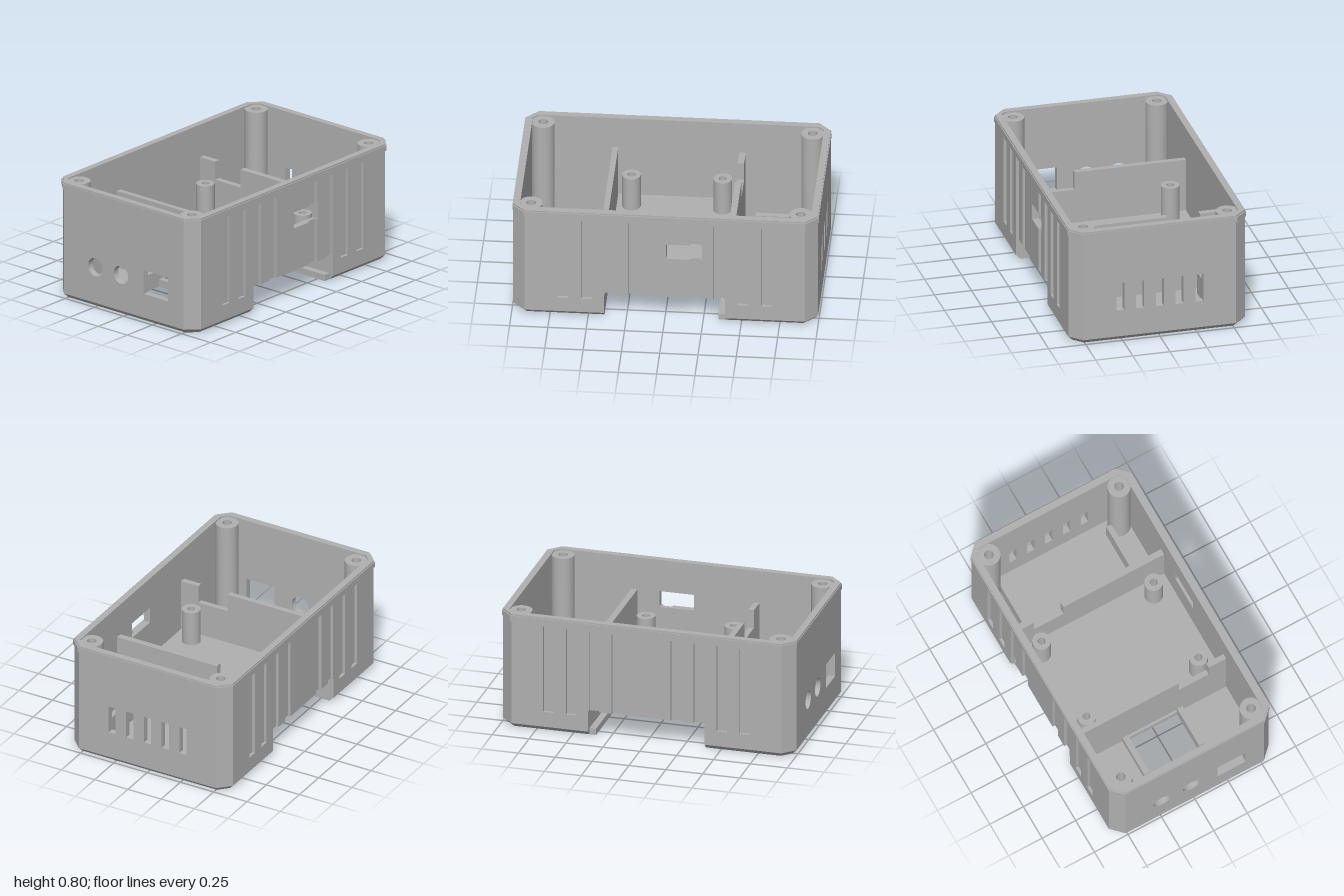
import * as THREE from 'three';
import { toCreasedNormals } from 'three/addons/utils/BufferGeometryUtils.js';

export function createModel() {
  const model = new THREE.Group();
  model.name = 'enclosure';
  const grey = new THREE.MeshStandardMaterial({ color: 0xb0b0b0 });
  grey.name = 'grey plastic';

  const add = (name, geometry, x = 0, y = 0, z = 0) => {
    const mesh = new THREE.Mesh(geometry, grey);
    mesh.name = name;
    mesh.position.set(x, y, z);
    model.add(mesh);
    return mesh;
  };
  const vec = (pts) => pts.map(([x, y]) => new THREE.Vector2(x, y));
  const rect = (x0, x1, y0, y1) => [[x0, y0], [x1, y0], [x1, y1], [x0, y1]];
  const circle = (cx, cy, r) => Array.from({ length: 40 }, (_, i) => {
    const a = (i / 40) * Math.PI * 2;
    return [cx + r * Math.cos(a), cy + r * Math.sin(a)];
  });
  // Flat plate with cut-outs, extruded along +z
  const plate = (outline, holes, depth) => {
    const shape = new THREE.Shape(vec(outline));
    holes.forEach((h) => shape.holes.push(new THREE.Path(vec(h))));
    return new THREE.ExtrudeGeometry(shape, { depth, bevelEnabled: false });
  };
  // Plate lying flat: outline is given as [x, z], extruded upwards
  const slab = (outline, holes, height) => {
    const flip = (pts) => pts.map(([x, z]) => [x, -z]);
    return plate(flip(outline), holes.map(flip), height).rotateX(-Math.PI / 2);
  };
  const box = (name, x0, x1, y0, y1, z0, z1) =>
    add(name, new THREE.BoxGeometry(x1 - x0, y1 - y0, z1 - z0), (x0 + x1) / 2, (y0 + y1) / 2, (z0 + z1) / 2);

  // Front wall with two round ports and a square one
  add('frontWall', plate(rect(-0.515, 0.515, 0.03, 0.8), [
    circle(-0.245, 0.278, 0.0625), circle(-0.025, 0.278, 0.0625), rect(0.17, 0.38, 0.195, 0.36),
  ], 0.045), 0, 0, 0.95);

  // Back wall with five vents
  const vents = [-2, -1, 0, 1, 2].map((i) => rect(i * 0.133 - 0.027, i * 0.133 + 0.027, 0.215, 0.41));
  add('backWall', plate(rect(-0.515, 0.515, 0.03, 0.8), vents, 0.045), 0, 0, -0.995);

  // Side walls: plain inner layer, grooved outer layer; u runs towards the back
  const sideOutline = (grooves) => [
    [-0.915, 0.03], [-0.395, 0.03], [-0.395, 0.175], ...grooves,
    [0.395, 0.175], [0.395, 0.03], [0.915, 0.03], [0.915, 0.8], [-0.915, 0.8],
  ];
  for (const side of [1, -1]) {
    const hasWindow = side > 0;
    const openGrooves = [-0.355, -0.2, 0.2, 0.355].flatMap((c) => {
      const a = c - 0.035, b = c + 0.035;
      if (hasWindow && c === 0.2) {
        // This groove merges with the window
        return [[a, 0.175], [a, 0.47], [0.01, 0.47], [0.01, 0.58], [a, 0.58], [a, 0.735],
          [b, 0.735], [b, 0.58], [0.245, 0.58], [0.245, 0.47], [b, 0.47], [b, 0.175]];
      }
      return [[a, 0.175], [a, 0.735], [b, 0.735], [b, 0.175]];
    });
    const closedGrooves = [-0.665, -0.51, 0.51, 0.665].map((c) => rect(c - 0.035, c + 0.035, 0.135, 0.735));
    const window = hasWindow ? [rect(0.01, 0.245, 0.47, 0.58)] : [];
    const name = hasWindow ? 'leftWall' : 'rightWall';
    add(name + 'Inner', plate(sideOutline([]), window, 0.025).rotateY(Math.PI / 2), hasWindow ? 0.55 : -0.575);
    add(name + 'Grooved', plate(sideOutline(openGrooves), closedGrooves, 0.02).rotateY(Math.PI / 2),
      hasWindow ? 0.575 : -0.595);
  }

  // Chamfered corners and screw posts
  const post = (R, r, base, top, depth) => toCreasedNormals(new THREE.LatheGeometry(
    vec([[R, base], [R, top], [r, top], [r, top - depth], [0, top - depth]]), 32), 0.6);
  for (const sx of [1, -1]) {
    for (const sz of [1, -1]) {
      const corner = [[0.595, 0.915], [0.515, 0.995], [0.515, 0.95], [0.55, 0.915]];
      add('cornerWall', slab(corner.map(([x, z]) => [x * sx, z * sz]), [], 0.77), 0, 0.03, 0);
      add('cornerPost', post(0.075, 0.031, 0.04, 0.79, 0.3), 0.485 * sx, 0, 0.88 * sz);
      add('boardStandoff', post(0.061, 0.026, 0.2, 0.455, 0.2), 0.418 * sx, 0, 0.298 * sz);
    }
  }

  // Raised band round the rim
  const octagon = (w, d, c) => [[w, d - c], [w - c, d], [c - w, d], [-w, d - c],
    [-w, c - d], [c - w, -d], [w - c, -d], [w, c - d]];
  add('rimBand', slab(octagon(0.601, 1, 0.079), [octagon(0.585, 0.985, 0.08)], 0.037), 0, 0.753, 0);

  // Floors of the two end blocks, with a chamfered lower edge
  const upper = [[-0.595, 0.395], [-0.595, 0.915], [-0.515, 0.995], [0.515, 0.995], [0.595, 0.915], [0.595, 0.395]];
  const lower = [[-0.565, 0.395], [-0.565, 0.903], [-0.503, 0.965], [0.503, 0.965], [0.565, 0.903], [0.565, 0.395]];
  const chamfer = () => {
    const pos = [];
    for (let i = 0; i < upper.length - 1; i++) {
      const at = (pts, k, y) => [pts[k][0], y, pts[k][1]];
      const a = at(lower, i, 0), b = at(lower, i + 1, 0);
      const c = at(upper, i + 1, 0.03), d = at(upper, i, 0.03);
      pos.push(...a, ...b, ...c, ...a, ...c, ...d);
    }
    const g = new THREE.BufferGeometry();
    g.setAttribute('position', new THREE.Float32BufferAttribute(pos, 3));
    g.computeVertexNormals();
    return g;
  };
  add('frontFloor', slab(lower, [rect(-0.185, 0.185, 0.43, 0.77)], 0.045));
  add('frontChamfer', chamfer());
  add('backFloor', slab(lower, [], 0.045).rotateY(Math.PI));
  add('backChamfer', chamfer().rotateY(Math.PI));

  // Raised middle floor above the mounting channel
  box('middleFloor', -0.56, 0.56, 0.175, 0.215, -0.41, 0.41);

  // Dividers that also close the channel, each with a cable notch
  const divider = [[-0.565, 0], [0.565, 0], [0.593, 0.03], [0.593, 0.17], [0.55, 0.17], [0.55, 0.575],
    [0.42, 0.575], [0.42, 0.45], [0.2, 0.45], [0.2, 0.575], [-0.55, 0.575], [-0.55, 0.17],
    [-0.593, 0.17], [-0.593, 0.03]];
  add('frontDivider', plate(divider, [rect(-0.185, 0.185, 0.05, 0.1)], 0.037), 0, 0, 0.395);
  add('backDivider', plate(divider, [], 0.042).rotateY(Math.PI), 0, 0, -0.395);

  // Hook lip of the mounting channel
  box('channelLip', -0.565, 0.565, 0, 0.043, -0.397, -0.35);

  // Guide rails on the floors
  for (const s of [1, -1]) {
    const x = [0.185 * s, 0.225 * s].sort((a, b) => a - b);
    box('latchGuide', x[0], x[1], 0.04, 0.11, 0.43, 0.725);
    box('boardRail', 0.4 * s - 0.019, 0.4 * s + 0.019, 0.04, 0.2, -0.865, -0.515);
  }
  return model;
}
